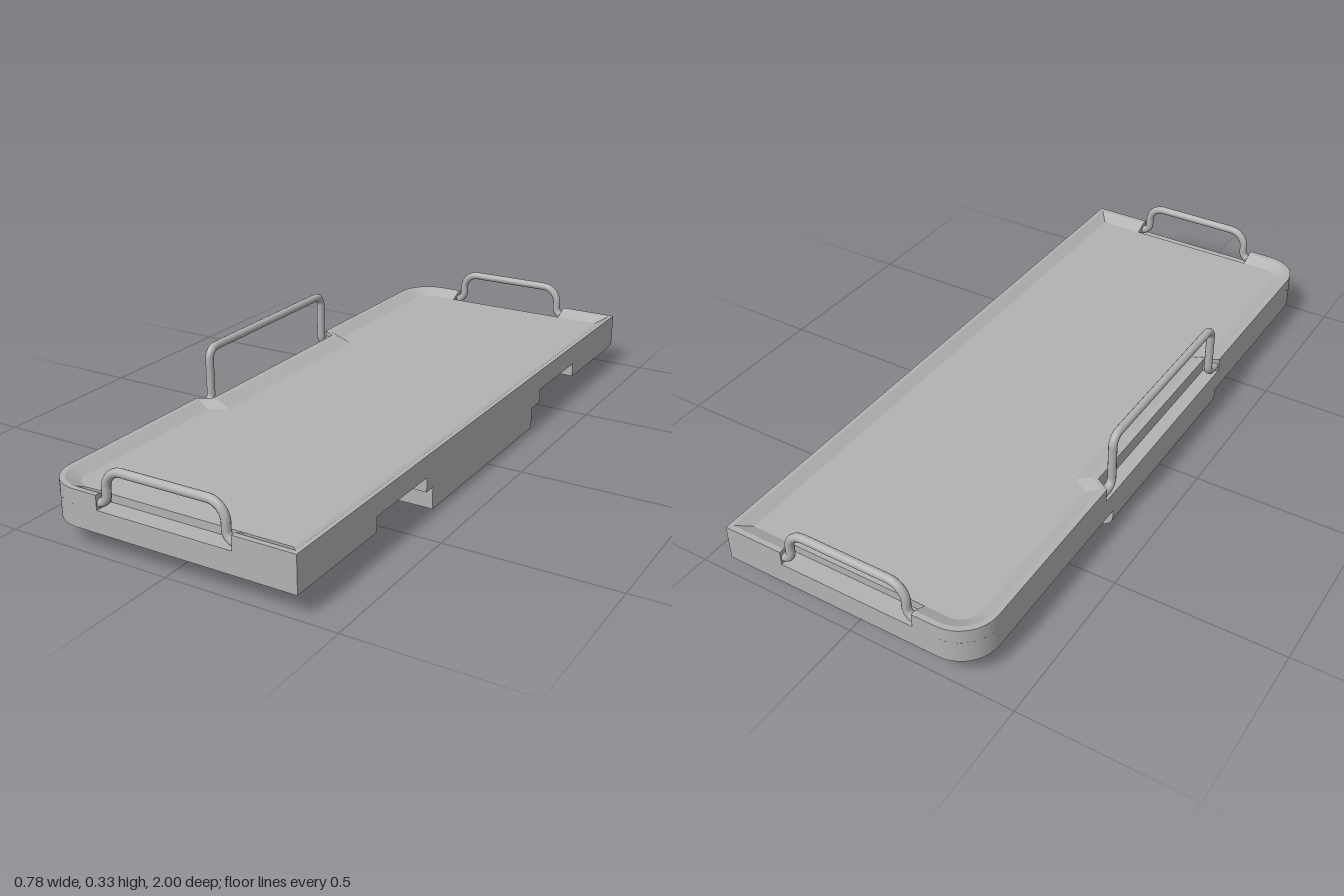
import * as THREE from 'three';
import { toCreasedNormals } from 'three/addons/utils/BufferGeometryUtils.js';

const HALF_W = 0.39, CORNER = 0.11;
const BASE = 0.065, NOTCH_TOP = 0.108, SEAM = 0.13, PANEL = 0.153, RIM = 0.172;

const grey = new THREE.MeshStandardMaterial({ color: 0xb2b2b2 });
grey.name = 'grey metal';
const greyDouble = grey;

function addMesh(parent, name, geometry) {
  const mesh = new THREE.Mesh(geometry, greyDouble);
  mesh.name = name;
  parent.add(mesh);
  return mesh;
}

// Horizontal slab from a plan shape (symmetric in z) between two heights
function slab(shape, y0, y1) {
  const g = new THREE.ExtrudeGeometry(shape, { depth: y1 - y0, bevelEnabled: false, curveSegments: 12 });
  g.rotateX(-Math.PI / 2).translate(0, y0, 0);
  return toCreasedNormals(g, 0.6);
}

// Tray plan: two rounded corners on -x, square on +x, optional notches in the +x edge
function trayShape(notched) {
  const s = new THREE.Shape();
  const left = -HALF_W + CORNER;
  s.moveTo(left, -1);
  s.lineTo(HALF_W, -1);
  if (notched) {
    for (const [a, b] of [[-0.64, -0.375], [0.375, 0.64]]) {
      s.lineTo(HALF_W, a);
      s.lineTo(0.1, a);
      s.lineTo(0.1, b);
      s.lineTo(HALF_W, b);
    }
  }
  s.lineTo(HALF_W, 1);
  s.lineTo(left, 1);
  s.absarc(left, 1 - CORNER, CORNER, Math.PI / 2, Math.PI, false);
  s.lineTo(-HALF_W, -1 + CORNER);
  s.absarc(left, -1 + CORNER, CORNER, Math.PI, Math.PI * 1.5, false);
  return s;
}

// Rim stations [outerX, outerZ, innerX, innerZ]; the z < 0 half is mirrored
const mirrorZ = (half) => [...half, ...half.slice().reverse().map(([a, b, c, d]) => [a, -b, c, -d])];

function leftStations() {
  const half = [[-0.207, 1, -0.207, 0.945]];
  for (let i = 0; i <= 12; i++) {
    const a = Math.PI / 2 * (1 + i / 12), c = Math.cos(a), s = Math.sin(a);
    const cx = -HALF_W + CORNER, cz = 1 - CORNER;
    half.push([cx + CORNER * c, cz + CORNER * s, cx + 0.055 * c, cz + 0.055 * s]);
  }
  // Recess for the side handle
  half.push([-HALF_W, 0.355, -0.335, 0.375], [-0.348, 0.328, -0.285, 0.34]);
  return mirrorZ(half);
}

const rightStations = () => mirrorZ([[0.207, 1, 0.207, 0.945], [HALF_W, 1, 0.345, 0.945]]).reverse();

// Raised rim: outer wall, narrow flat top, slope down to the panel, closed ends
function rimGeometry(stations) {
  const sections = stations.map(([ox, oz, ix, iz]) => {
    const mx = ox + (ix - ox) * 0.28, mz = oz + (iz - oz) * 0.28;
    return [[ox, SEAM, oz], [ox, RIM, oz], [mx, RIM, mz], [ix, PANEL, iz], [ix, SEAM, iz]];
  });
  const pos = [];
  const tri = (a, b, c) => pos.push(...a, ...b, ...c);
  for (let i = 0; i < sections.length - 1; i++) {
    const p = sections[i], q = sections[i + 1];
    for (let k = 0; k < 4; k++) {
      tri(p[k], p[k + 1], q[k]);
      tri(q[k], p[k + 1], q[k + 1]);
    }
  }
  const first = sections[0], last = sections[sections.length - 1];
  for (let k = 1; k < 4; k++) {
    tri(first[0], first[k + 1], first[k]);
    tri(last[0], last[k], last[k + 1]);
  }
  const g = new THREE.BufferGeometry();
  g.setAttribute('position', new THREE.Float32BufferAttribute(pos, 3));
  return toCreasedNormals(g, 0.3);
}

// Bent-rod handle in the x-y plane, with feet turned outwards into the rim
function handleGeometry(halfSpan, top, bend, foot) {
  const v = (x, y) => new THREE.Vector3(x, y, 0);
  const path = new THREE.CurvePath();
  const k = 0.45, footY = 0.146, footR = 0.028;
  const line = (a, b) => path.add(new THREE.LineCurve3(a, b));
  const curve = (a, corner, b) => path.add(new THREE.CubicBezierCurve3(
    a, corner.clone().lerp(a, k), corner.clone().lerp(b, k), b));
  const w = halfSpan;
  line(v(-foot, footY), v(-w - footR, footY));
  curve(v(-w - footR, footY), v(-w, footY), v(-w, footY + footR));
  line(v(-w, footY + footR), v(-w, top - bend));
  curve(v(-w, top - bend), v(-w, top), v(-w + bend, top));
  line(v(-w + bend, top), v(w - bend, top));
  curve(v(w - bend, top), v(w, top), v(w, top - bend));
  line(v(w, top - bend), v(w, footY + footR));
  curve(v(w, footY + footR), v(w, footY), v(w + footR, footY));
  line(v(w + footR, footY), v(foot, footY));
  return new THREE.TubeGeometry(path, 160, 0.0125, 14, false);
}

export function createModel() {
  const model = new THREE.Group();
  model.name = 'servingTray';

  // Body in two layers, the lower one notched on the +x edge
  addMesh(model, 'lowerBody', slab(trayShape(true), BASE, NOTCH_TOP));
  addMesh(model, 'upperBody', slab(trayShape(false), NOTCH_TOP, SEAM));

  // Rim in two pieces, leaving gaps for the end handles
  const left = leftStations(), right = rightStations();
  addMesh(model, 'leftRim', rimGeometry(left));
  addMesh(model, 'rightRim', rimGeometry(right));

  // Panel filling the space inside the rim
  const panel = new THREE.Shape([...left, ...right].map(([, , x, z]) => new THREE.Vector2(x, z)));
  addMesh(model, 'panel', slab(panel, SEAM, PANEL));

  // Block underneath, with one rounded lower edge
  const block = new THREE.Shape();
  const r = 0.042;
  block.moveTo(-HALF_W + r, 0);
  block.lineTo(HALF_W, 0);
  block.lineTo(HALF_W, BASE);
  block.lineTo(-HALF_W, BASE);
  block.lineTo(-HALF_W, r);
  block.absarc(-HALF_W + r, r, r, Math.PI, Math.PI * 1.5, false);
  const blockGeometry = new THREE.ExtrudeGeometry(block, { depth: 0.655, bevelEnabled: false, curveSegments: 10 });
  addMesh(model, 'underBlock', toCreasedNormals(blockGeometry.translate(0, 0, -0.315), 0.6));

  // Handles: one at each end, a taller one on the side
  for (const [name, z] of [['frontHandle', 0.985], ['backHandle', -0.985]]) {
    addMesh(model, name, handleGeometry(0.183, 0.244, 0.052, 0.22)).position.z = z;
  }
  const side = addMesh(model, 'sideHandle', handleGeometry(0.303, 0.313, 0.032, 0.36));
  side.rotation.y = Math.PI / 2;
  side.position.x = -0.376;

  return model;
}
